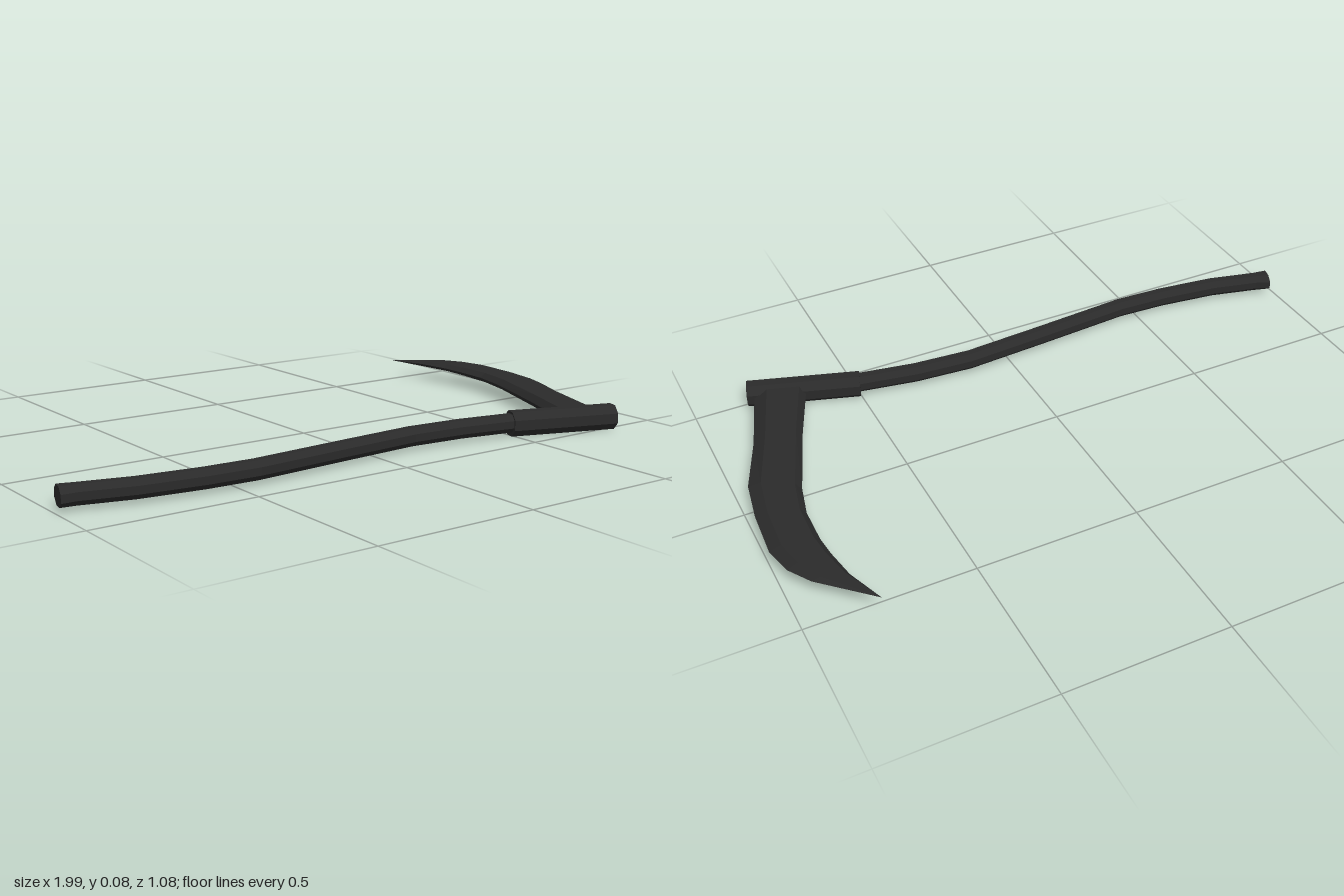
import * as THREE from 'three';

// Skin a list of equal-length closed rings, capped at both ends.
function loft(rings) {
  const pos = [];
  const tri = (a, b, c) => pos.push(...a, ...b, ...c);
  const n = rings[0].length;
  for (let i = 0; i < rings.length - 1; i++) {
    for (let j = 0; j < n; j++) {
      const k = (j + 1) % n, p = rings[i], q = rings[i + 1];
      tri(p[j], p[k], q[j]);
      tri(p[k], q[k], q[j]);
    }
  }
  const first = rings[0], last = rings[rings.length - 1];
  for (let j = 1; j < n - 1; j++) {
    tri(first[0], first[j + 1], first[j]);
    tri(last[0], last[j], last[j + 1]);
  }
  const g = new THREE.BufferGeometry();
  g.setAttribute('position', new THREE.Float32BufferAttribute(pos, 3));
  g.computeVertexNormals();
  return g;
}

// Octagonal rod along [x, z, sideways radius, vertical radius] stations.
function rod(stations, y) {
  const sides = 8, grow = 1 / Math.cos(Math.PI / sides);
  return loft(stations.map(([x, z, rs, rv], i) => {
    const a = stations[Math.max(i - 1, 0)], b = stations[Math.min(i + 1, stations.length - 1)];
    const len = Math.hypot(b[0] - a[0], b[1] - a[1]);
    const sx = (b[1] - a[1]) / len, sz = -(b[0] - a[0]) / len;
    return Array.from({ length: sides }, (_, j) => {
      const t = ((j + 0.5) / sides) * Math.PI * 2;
      const c = Math.cos(t) * rs * grow, s = Math.sin(t) * rv * grow;
      return [x + sx * c, y + s, z + sz * c];
    });
  }));
}

export function createModel() {
  const group = new THREE.Group();
  const darkMetal = new THREE.MeshStandardMaterial({ color: 0x2a2a2a });
  darkMetal.name = 'darkMetal';
  const add = (name, geometry) => {
    const mesh = new THREE.Mesh(geometry, darkMetal);
    mesh.name = name;
    group.add(mesh);
  };

  // Gently S-curved shaft with a flat flare at its free end
  const r = 0.028;
  add('shaft', rod([
    [-0.985, 0.315, 0.037, r], [-0.94, 0.325, r, r], [-0.79, 0.363, r, r],
    [-0.6, 0.387, r, r], [-0.44, 0.394, r, r], [-0.13, 0.369, r, r],
    [0.136, 0.35, r, r], [0.32, 0.364, r, r], [0.52, 0.4, r, r],
  ], 0.043));

  // Thicker straight socket that holds the blade
  add('socket', rod([[0.497, 0.392, 0.038, 0.038], [0.829, 0.503, 0.038, 0.038]], 0.04));

  // Curved blade: [inner x, inner z, outer x, outer z, mid height, half thickness]
  const blade = [
    [0.655, 0.445, 0.81, 0.49, 0.046, 0.022],
    [0.746, 0.217, 0.89, 0.243, 0.049, 0.02],
    [0.83, -0.024, 0.965, 0.056, 0.052, 0.018],
    [0.853, -0.13, 0.987, -0.08, 0.054, 0.016],
    [0.856, -0.25, 0.997, -0.238, 0.056, 0.014],
    [0.85, -0.32, 0.976, -0.33, 0.058, 0.012],
    [0.833, -0.42, 0.933, -0.4, 0.059, 0.01],
    [0.79, -0.54, 0.791, -0.54, 0.06, 0.0005],
  ];
  // Cross-section: [fraction across, fraction of half thickness]
  const section = [[0, 0], [0.12, 1], [0.75, 1], [1, 0], [0.75, -1], [0.12, -1]];
  add('blade', loft(blade.map(([ix, iz, ox, oz, y, h]) =>
    section.map(([f, v]) => [ix + (ox - ix) * f, y + v * h, iz + (oz - iz) * f]))));

  return group;
}
